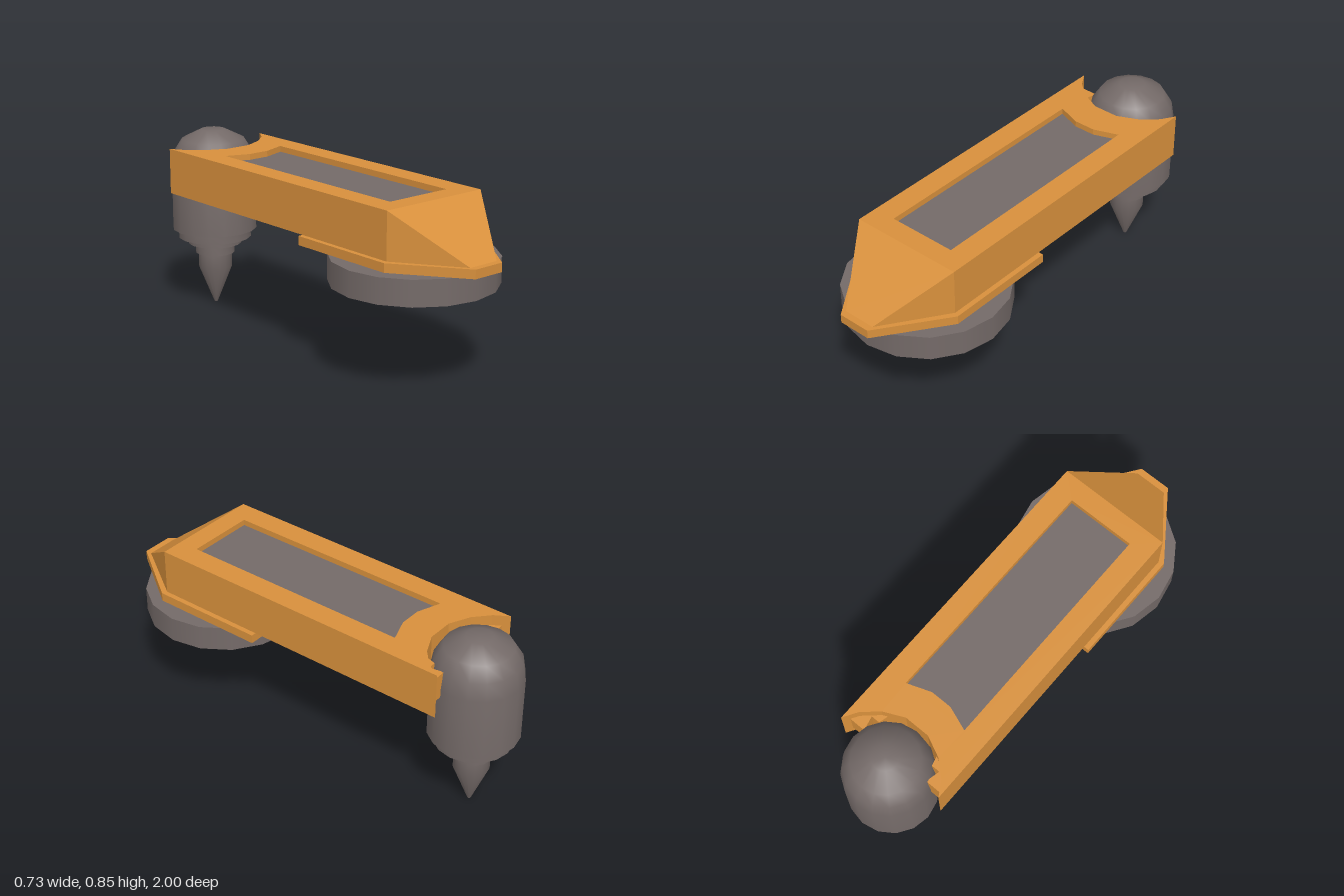
import * as THREE from 'three';
import { toCreasedNormals } from 'three/addons/utils/BufferGeometryUtils.js';
import { ConvexGeometry } from 'three/addons/geometries/ConvexGeometry.js';

const orange = new THREE.MeshStandardMaterial({ color: 0xd8903c });
const grey = new THREE.MeshStandardMaterial({ color: 0x746a68 });

// Mirror a half outline of [x, z] points (+x side) across x = 0
const mirrored = (half) => [...half, ...half.map(([x, z]) => [-x, z]).reverse()];
const toPoints = (outline) => outline.map(([x, z]) => new THREE.Vector2(x, -z));

// Plan outline raised from y0 to y1, with an optional hole
function slab(outline, y0, y1, hole) {
  const shape = new THREE.Shape(toPoints(outline));
  if (hole) shape.holes.push(new THREE.Path(toPoints(hole)));
  return new THREE.ExtrudeGeometry(shape, { depth: y1 - y0, bevelEnabled: false })
    .rotateX(-Math.PI / 2)
    .translate(0, y0, 0);
}

export function createModel() {
  const model = new THREE.Group();
  const add = (name, geometry, material) => {
    const mesh = new THREE.Mesh(geometry, material);
    mesh.name = name;
    model.add(mesh);
    return mesh;
  };

  // Long arm, notched at the back around the drill head, with a shallow top pocket
  const arm = mirrored([[0.265, 0.69], [0.265, -0.78], [0.225, -0.715], [0.155, -0.652], [0.06, -0.608]]);
  const pocket = mirrored([[0.16, 0.595], [0.16, -0.495], [0.05, -0.455]]);
  add('armBody', slab(arm, 0.585, 0.765), orange);
  add('armRim', slab(arm, 0.765, 0.795, pocket), orange);
  add('pocketFloor', slab(pocket, 0.75, 0.768), grey);

  // Wedge nose narrowing to the front
  const nose = [];
  for (const s of [-1, 1]) {
    nose.push(
      new THREE.Vector3(s * 0.265, 0.795, 0.69),
      new THREE.Vector3(s * 0.265, 0.585, 0.69),
      new THREE.Vector3(s * 0.075, 0.585, 0.97)
    );
  }
  add('nose', new ConvexGeometry(nose), orange);

  // Clamp lugs inside the notch, on both sides of the head
  for (const s of [-1, 1]) {
    const lug = [[0.25, -0.7], [0.245, -0.75], [0.17, -0.75], [0.185, -0.685], [0.145, -0.685], [0.13, -0.63]];
    add(s > 0 ? 'leftLug' : 'rightLug', slab(lug.map(([x, z]) => [s * x, z]), 0.63, 0.745), orange);
  }

  // Mounting plate and round foot under the front
  add('mountingPlate', slab(mirrored([[0.075, 1], [0.288, 0.7], [0.288, 0.17]]), 0.545, 0.585), orange);
  const foot = new THREE.CylinderGeometry(0.363, 0.363, 0.115, 16);
  add('foot', foot, grey).position.set(0, 0.4825, 0.575);

  // Stepped drill head with a domed cap
  const profile = [
    [0, 0], [0.008, 0], [0.08, 0.18], [0.08, 0.25], [0.093, 0.25], [0.093, 0.298],
    [0.127, 0.298], [0.127, 0.33], [0.173, 0.33], [0.173, 0.373], [0.2, 0.373],
    [0.2, 0.665], [0.186, 0.745], [0.148, 0.805], [0.058, 0.85], [0, 0.85],
  ].map(([r, y]) => new THREE.Vector2(r, y));
  const head = toCreasedNormals(new THREE.LatheGeometry(profile, 16), 0.75);
  add('drillHead', head, grey).position.z = -0.8;

  return model;
}
